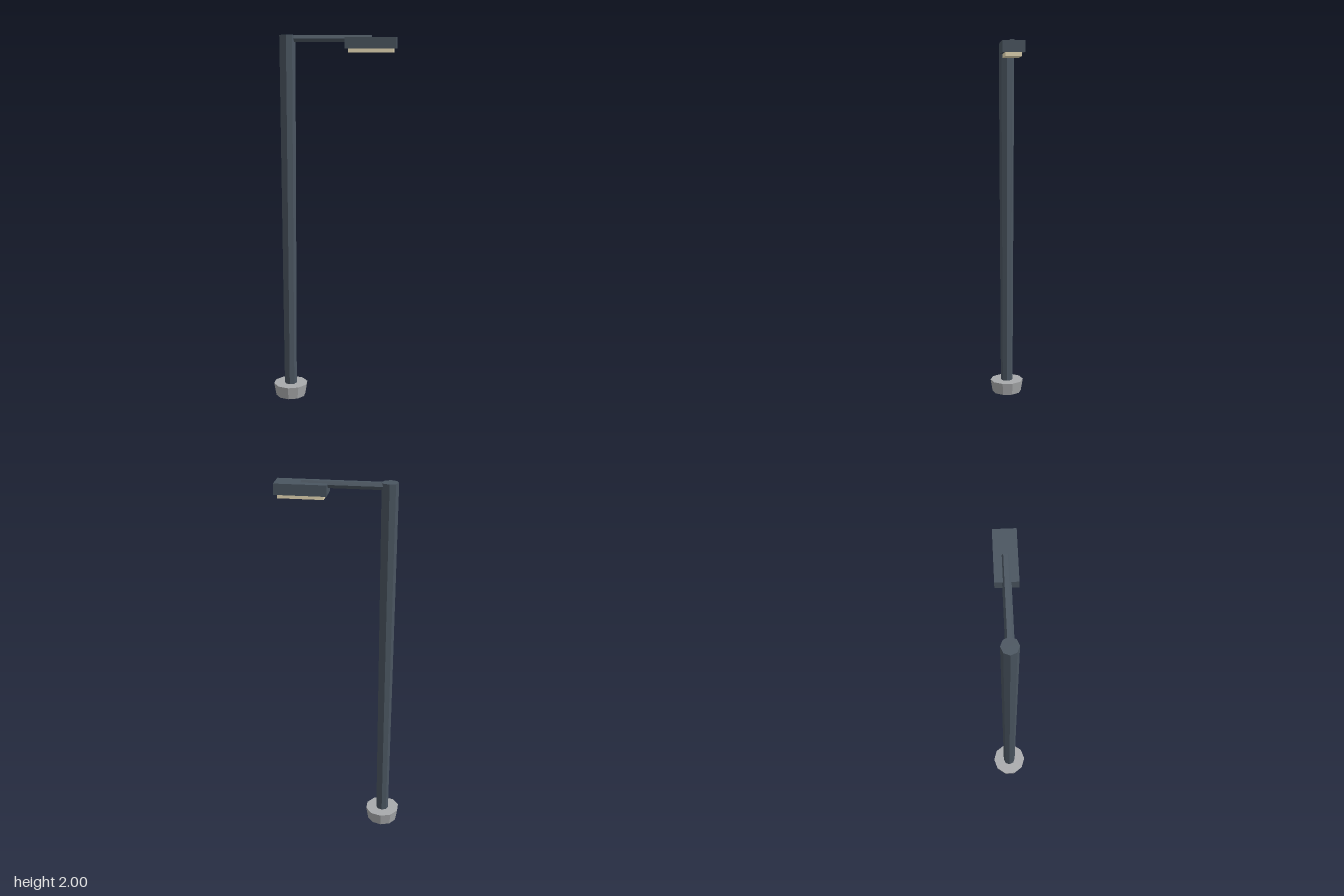
import * as THREE from 'three';

const POLE_X = -0.243;
const HEAD_X = 0.199;

const paint = (color) => new THREE.MeshStandardMaterial({ color, flatShading: true });

export function createModel() {
  const group = new THREE.Group();
  const metal = paint(0x4a5560);
  const concrete = paint(0xa8aaac);
  const glow = paint(0xe8dcb8);

  const add = (name, geometry, material, x, y) => {
    const mesh = new THREE.Mesh(geometry, material);
    mesh.name = name;
    mesh.position.set(x, y, 0);
    group.add(mesh);
    return mesh;
  };

  // Ten-sided footing, wider at the top
  add('base', new THREE.CylinderGeometry(0.095, 0.083, 0.07, 10), concrete, POLE_X, 0.035);

  // Eight-sided pole, widening slightly upwards
  add('pole', new THREE.CylinderGeometry(0.043, 0.034, 2, 8), metal, POLE_X, 1);

  // Hexagonal arm from the pole's centre into the lamp head
  const armLength = 0.2 - POLE_X;
  const arm = add('arm', new THREE.CylinderGeometry(0.021, 0.021, armLength, 6), metal,
    POLE_X + armLength / 2, 1.981);
  arm.rotation.z = Math.PI / 2;

  // Lamp housing with the light panel beneath it
  add('lampHead', new THREE.BoxGeometry(0.267, 0.057, 0.112), metal, HEAD_X, 1.959);
  add('lightPanel', new THREE.BoxGeometry(0.235, 0.021, 0.083), glow, HEAD_X, 1.9205);

  return group;
}
